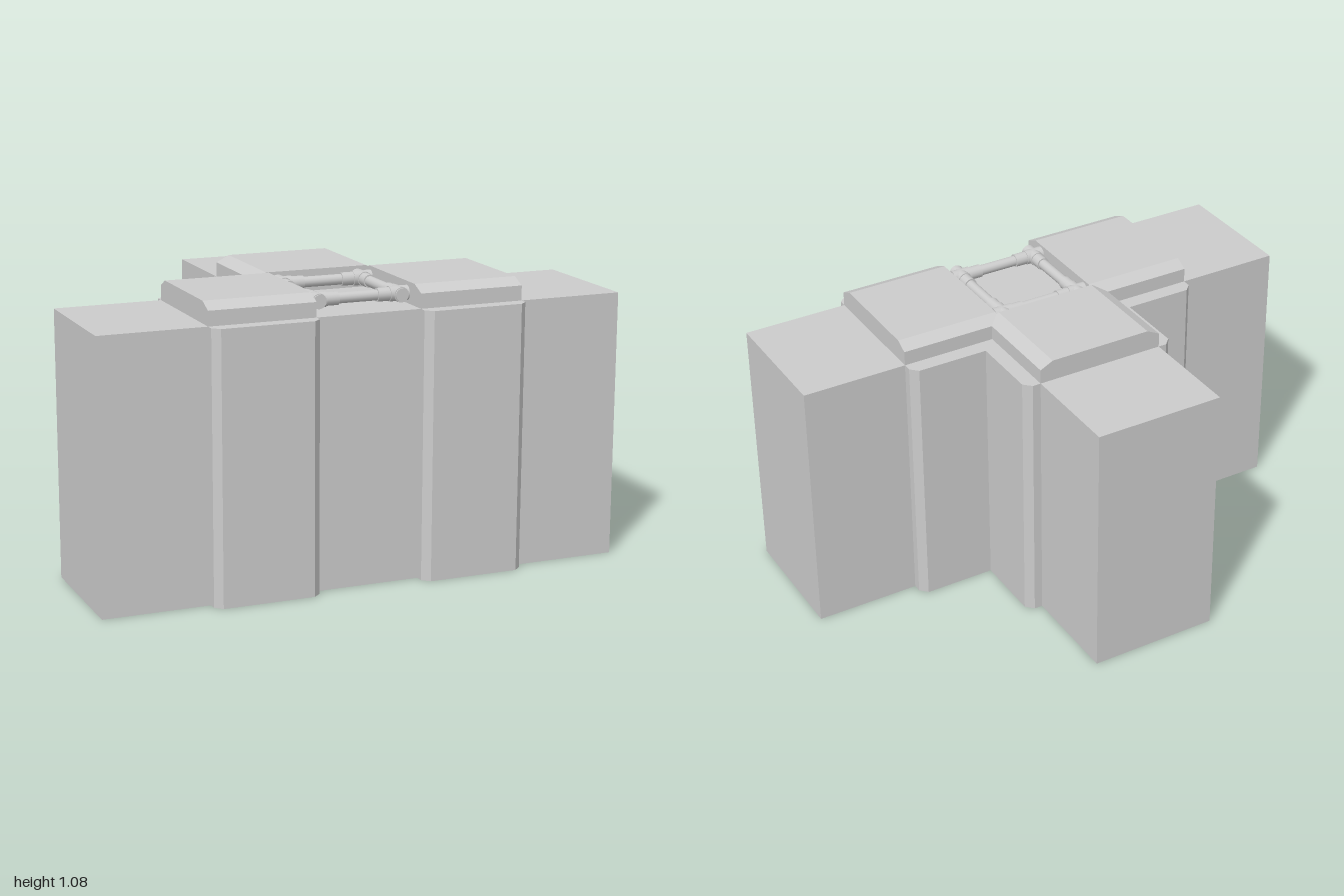
import * as THREE from 'three';

const mat = new THREE.MeshStandardMaterial({ color: 0xcccccc, flatShading: true });
const smoothMat = new THREE.MeshStandardMaterial({ color: 0xcccccc });

export function createModel() {
  const root = new THREE.Group();

  function add(geometry, name, parent = root, material = mat) {
    const mesh = new THREE.Mesh(geometry, material);
    mesh.name = name;
    parent.add(mesh);
    return mesh;
  }

  const extrude = (points, depth) => new THREE.ExtrudeGeometry(
    new THREE.Shape(points.map(([a, b]) => new THREE.Vector2(a, b))),
    { depth, bevelEnabled: false });

  function box(name, x0, x1, z0, z1) {
    add(new THREE.BoxGeometry(x1 - x0, 1, z1 - z0), name)
      .position.set((x0 + x1) / 2, 0.5, (z0 + z1) / 2);
  }

  // Upright prism, height 1, from an (x, z) floor plan
  function upright(name, plan) {
    add(extrude(plan.map(([x, z]) => [x, -z]), 1).rotateX(-Math.PI / 2), name);
  }

  // T-shaped wall: the crossing wall and the stem behind it
  const stemX = -0.008, stemHalf = 0.249, stemBack = -0.255;
  box('crossWall', -1, 1, 0.1, 0.6);
  box('stemWall', stemX - stemHalf, stemX + stemHalf, -0.655, 0.1);

  for (const s of [-1, 1]) {
    const side = s > 0 ? 'left' : 'right';
    // Front pilaster with chamfered corners
    upright(side + 'FrontPilaster', [
      [s * 0.2, 0.6], [s * 0.2, 0.63], [s * 0.228, 0.655],
      [s * 0.573, 0.655], [s * 0.6, 0.63], [s * 0.6, 0.6]]);

    // Pilaster wrapping the inner corner between wall and stem
    const inner = stemX + s * stemHalf, outer = stemX + s * 0.309;
    upright(side + 'CornerPilaster', [
      [s * 0.6, 0.1], [s * 0.6, 0.068], [s * 0.573, 0.04], [outer, 0.04],
      [outer, -0.227], [outer - s * 0.028, stemBack], [inner, stemBack], [inner, 0.1]]);

    // Coping on the crossing wall, sloped at front and back
    add(extrude([[0.1, 1], [0.6, 1], [0.6, 1.055], [0.545, 1.08], [0.147, 1.08], [0.1, 1.055]], 0.4)
      .rotateY(-Math.PI / 2), side + 'Coping').position.x = s > 0 ? 0.6 : -0.2;
  }

  // Coping on the stem, sloped at both sides
  const a = stemX - stemHalf, b = stemX + stemHalf;
  add(extrude([[a, 1], [b, 1], [b, 1.055], [b - 0.05, 1.08], [a + 0.05, 1.08], [a, 1.055]], 0.393),
    'stemCoping').position.z = stemBack;

  // Square pipe frame lying in the gap between the copings
  const pipes = new THREE.Group();
  pipes.name = 'pipeFrame';
  pipes.position.y = 1.043;
  root.add(pipes);
  const xs = [-0.165, 0.152], zs = [0.182, 0.505];

  function pipe(name, axis, from, to, fixed, radius) {
    const g = new THREE.CylinderGeometry(radius, radius, to - from, 16);
    const mid = (from + to) / 2;
    if (axis === 'x') g.rotateZ(Math.PI / 2).translate(mid, 0, fixed);
    else g.rotateX(Math.PI / 2).translate(fixed, 0, mid);
    add(g, name, pipes, smoothMat);
  }

  for (const z of zs) pipe('crossPipe', 'x', xs[0], xs[1], z, 0.02);
  for (const x of xs) pipe('lengthPipe', 'z', zs[0], zs[1], x, 0.02);

  // Cross fittings: a long sleeve inward, a short stub with collar outward
  xs.forEach((x, i) => zs.forEach((z, j) => {
    const span = (c, far, out, inn) => far ? [c - inn, c + out] : [c - out, c + inn];
    pipe('fittingSleeve', 'x', ...span(x, i, 0.036, 0.083), z, 0.025);
    pipe('fittingSleeve', 'z', ...span(z, j, 0.042, 0.08), x, 0.025);
    pipe('fittingCollar', 'x', x - 0.036, x + 0.036, z, 0.028);
    pipe('fittingCollar', 'z', z - 0.036, z + 0.036, x, 0.028);
  }));

  return root;
}
